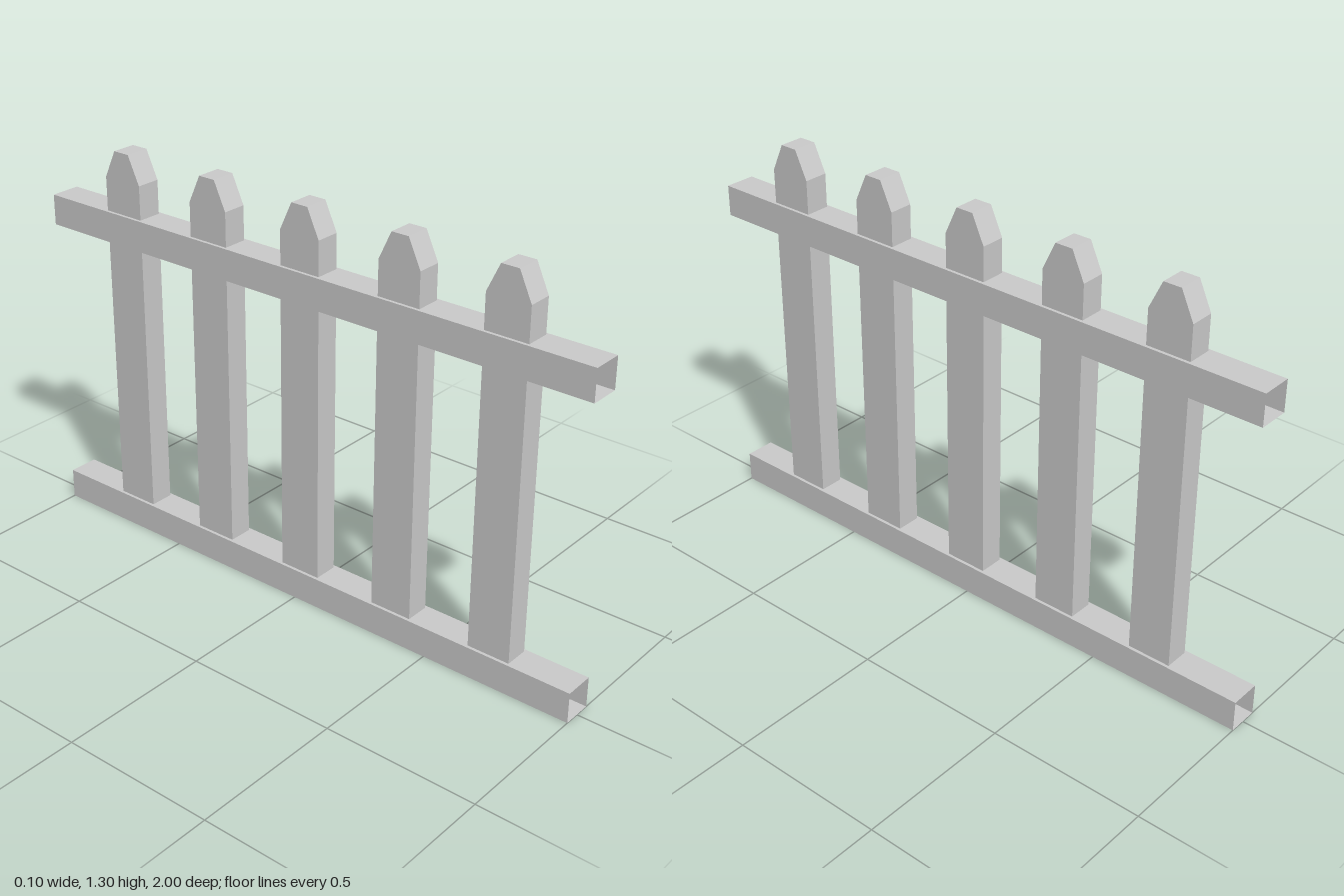
import * as THREE from 'three';

const PICKETS = 5, SPACING = 0.353, OFFSET = 0.013;
const BASE = 0.08, SHOULDER = 1.21, TOP = 1.3;
const HALF = 0.071, TIP = 0.029, THICK = 0.08;
const RAIL = 0.1, LENGTH = 2;

// Pointed board with a blunt tip, its outline lying along z
function picketGeometry() {
  const outline = new THREE.Shape([
    [-HALF, BASE], [HALF, BASE], [HALF, SHOULDER],
    [TIP, TOP], [-TIP, TOP], [-HALF, SHOULDER],
  ].map(([z, y]) => new THREE.Vector2(z, y)));
  return new THREE.ExtrudeGeometry(outline, { depth: THICK, bevelEnabled: false })
    .translate(0, 0, -THICK / 2)
    .rotateY(-Math.PI / 2);
}

// Hollow square rail, open at both ends
function railGeometry() {
  const r = RAIL / Math.SQRT2;
  return new THREE.CylinderGeometry(r, r, LENGTH, 4, 1, true, Math.PI / 4)
    .rotateX(Math.PI / 2);
}

export function createModel() {
  const fence = new THREE.Group();
  fence.name = 'picketFence';
  const solid = new THREE.MeshStandardMaterial({ color: 0xcccccc, flatShading: true });
  const open = new THREE.MeshStandardMaterial({
    color: 0xcccccc, flatShading: true, side: THREE.DoubleSide,
  });

  // Lower and upper rails
  const railGeo = railGeometry();
  for (const [name, y] of [['lowerRail', 0.05], ['upperRail', 1.05]]) {
    const rail = new THREE.Mesh(railGeo, open);
    rail.name = name;
    rail.position.y = y;
    fence.add(rail);
  }

  // Row of pickets, standing inside the lower rail
  const picketGeo = picketGeometry();
  for (let i = 0; i < PICKETS; i++) {
    const picket = new THREE.Mesh(picketGeo, solid);
    picket.name = `picket${i + 1}`;
    picket.position.z = OFFSET + (i - (PICKETS - 1) / 2) * SPACING;
    fence.add(picket);
  }
  return fence;
}
